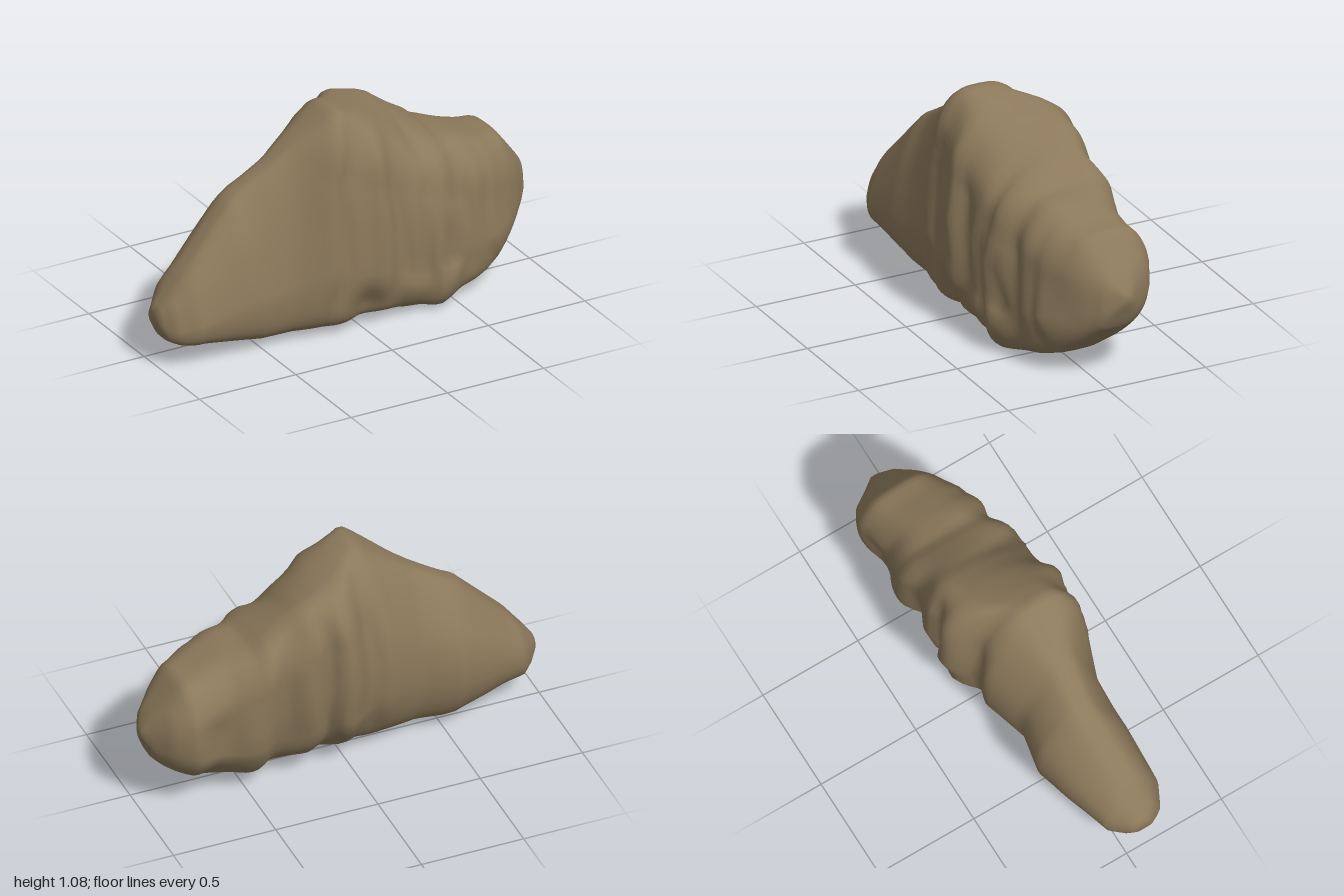
import * as THREE from 'three';

// Boundary profiles along x: [x, value]
const TOP = [[-1, .28], [-.88, .44], [-.61, .73], [-.4, .86], [-.1, 1.09], [.12, 1.01], [.25, .96], [.45, .82], [.48, .79], [.6, .76], [.74, .71], [.83, .69], [.96, .52], [1, .45]];
const BOTTOM = [[-1, .2], [-.97, .14], [-.91, .11], [-.8, .1], [-.5, .04], [-.1, .03], [.1, .05], [.42, .005], [.62, .05], [.75, .1], [.85, .18], [.95, .28], [1, .4]];
const BACK = [[-1, .04], [-.92, -.06], [-.7, -.15], [-.55, -.2], [-.37, -.17], [-.17, -.25], [-.07, -.24], [.02, -.32], [.08, -.33], [.13, -.29], [.2, -.31], [.35, -.29], [.45, -.32], [.6, -.3], [.8, -.31], [.9, -.26], [.97, -.17], [1, -.13]];
const FRONT = [[-1, .14], [-.95, .21], [-.85, .26], [-.6, .265], [-.35, .255], [-.18, .31], [0, .3], [.08, .33], [.2, .3], [.38, .31], [.5, .26], [.7, .21], [.8, .14], [.9, .07], [.97, 0], [1, -.08]];

// How far each face leans inward, as a share of the thickness: [x, share]
const FRONT_TOP_LEAN = [[-1, .15], [-.85, .24], [-.5, .27], [-.3, .2], [-.15, .06], [.05, .06], [.25, .14], [.5, .1], [1, .1]];
const BACK_TOP_LEAN = [[-1, .1], [-.85, .25], [-.5, .32], [-.2, .25], [-.06, .2], [.04, .1], [.14, .01], [.45, .01], [.6, .06], [1, .1]];
const BACK_FOOT_LEAN = [[-1, .12], [-.5, .16], [0, .24], [.4, .34], [.8, .34], [1, .1]];
// Drop of the upper front edge below the back crest
const FRONT_DROP = [[0, 0], [.15, .03], [.3, .09], [.45, .02], [.55, 0]];
// Roundness of the upper back edge, lower is squarer
const BACK_EDGE = [[-.1, .62], [.12, .42], [.45, .42], [.7, .55]];

// Vertical crevices: [x at mid height, lean, half width, depth]
const FRONT_CREVICES = [[-.13, .1, .035, .025], [.16, -.05, .05, .03], [.32, .04, .04, .03], [.54, -.04, .05, .025], [.67, -.08, .04, .015]];
const BACK_CREVICES = [[-.1, .12, .05, .015], [.14, .08, .04, .025], [.34, -.05, .06, .025], [.62, -.1, .08, .02]];
// Local hollows: [x, y, radius, depth]
const FRONT_PITS = [[.45, .29, .06, .05], [.02, .12, .08, .04], [.25, .25, .07, .025]];
const BACK_PITS = [[.02, .45, .07, .025], [.36, .4, .12, .03], [.66, .4, .1, .035]];

function at(profile, x) {
  let i = 1;
  while (i < profile.length - 1 && x > profile[i][0]) i++;
  const [x0, a] = profile[i - 1], [x1, b] = profile[i];
  return THREE.MathUtils.lerp(a, b, THREE.MathUtils.clamp((x - x0) / (x1 - x0), 0, 1));
}

const bump = (d) => Math.exp(-d * d);
const power = (v, e) => Math.sign(v) * Math.abs(v) ** e;

// Inward erosion of one broad face
function erosion(x, y, crevices, pits) {
  let d = 0;
  for (const [cx, lean, w, depth] of crevices) {
    const path = cx + lean * (y - .45) + .02 * Math.sin(y * 11 + cx * 20);
    d += depth * bump((x - path) / w);
  }
  for (const [px, py, r, depth] of pits) d += depth * bump(Math.hypot(x - px, y - py) / r);
  return d;
}

// Ring of points around the rock at one station: front, top, back, bottom
function section(x, count) {
  const top = at(TOP, x), bottom = at(BOTTOM, x);
  const back = at(BACK, x), front = at(FRONT, x);
  const thick = front - back;
  const ends = THREE.MathUtils.smoothstep(1 - Math.abs(x), 0, .2);
  const rugged = THREE.MathUtils.smoothstep(x, -.35, 0) * ends;
  const ring = [];
  for (let j = 0; j < count; j++) {
    const a = j / count * Math.PI * 2;
    const s = Math.sin(a), c = Math.cos(a);
    const upper = c > 0 ? .58 : at(BACK_EDGE, x);
    const lower = c > 0 ? .48 : .55;
    const edge = s > 0 ? upper : lower;
    const v = power(s, edge), u = power(c, edge);
    let y = THREE.MathUtils.lerp(bottom, top, (v + 1) / 2);
    y -= at(FRONT_DROP, x) * Math.max(0, v) * THREE.MathUtils.smoothstep(u, -.5, .8);
    // Leaning front, leaning upper back and undercut lower back
    const f = front - thick * at(FRONT_TOP_LEAN, x) * Math.max(0, (v + .4) / 1.4) ** 1.3;
    const b = back + thick * (at(BACK_TOP_LEAN, x) * Math.max(0, v) ** 1.5 + at(BACK_FOOT_LEAN, x) * Math.max(0, -v) ** 1.8);
    let z = THREE.MathUtils.lerp(b, f, (u + 1) / 2);
    const dent = c > 0 ? erosion(x, y, FRONT_CREVICES, FRONT_PITS) : erosion(x, y, BACK_CREVICES, BACK_PITS);
    const rough = .01 * Math.sin(x * 15 + y * 8) * Math.sin(y * 14 - x * 6);
    z -= c * (ends * dent + rugged * (rough - .008));
    y += .008 * s * rugged * Math.sin(x * 23 + z * 19) * Math.abs(c);
    ring.push(x, y, z);
  }
  return ring;
}

function rockGeometry(stations = 84, count = 56) {
  const points = [], index = [];
  for (let i = 0; i <= stations; i++) {
    // Stations gather towards both ends
    const t = i / stations * 2 - 1;
    points.push(...section(.65 * t + .35 * Math.sin(t * Math.PI / 2), count));
  }
  const last = stations * count, leftTip = last + count;
  for (let j = 0; j < count; j++) {
    const k = (j + 1) % count;
    for (let row = 0; row < last; row += count) {
      const a = row + j, b = row + k;
      index.push(a, a + count, b, b, a + count, b + count);
    }
    // Small end caps
    index.push(leftTip, j, k, leftTip + 1, last + k, last + j);
  }
  points.push(-1, .24, .09, 1, .425, -.105);
  const geometry = new THREE.BufferGeometry();
  geometry.setAttribute('position', new THREE.Float32BufferAttribute(points, 3));
  geometry.setIndex(index);
  geometry.computeVertexNormals();
  return geometry;
}

export function createModel() {
  const stone = new THREE.MeshStandardMaterial({ color: 0x8c795b });
  stone.name = 'brown stone';
  const rock = new THREE.Mesh(rockGeometry(), stone);
  rock.name = 'rock';
  const group = new THREE.Group();
  group.name = 'boulder';
  group.add(rock);
  return group;
}
